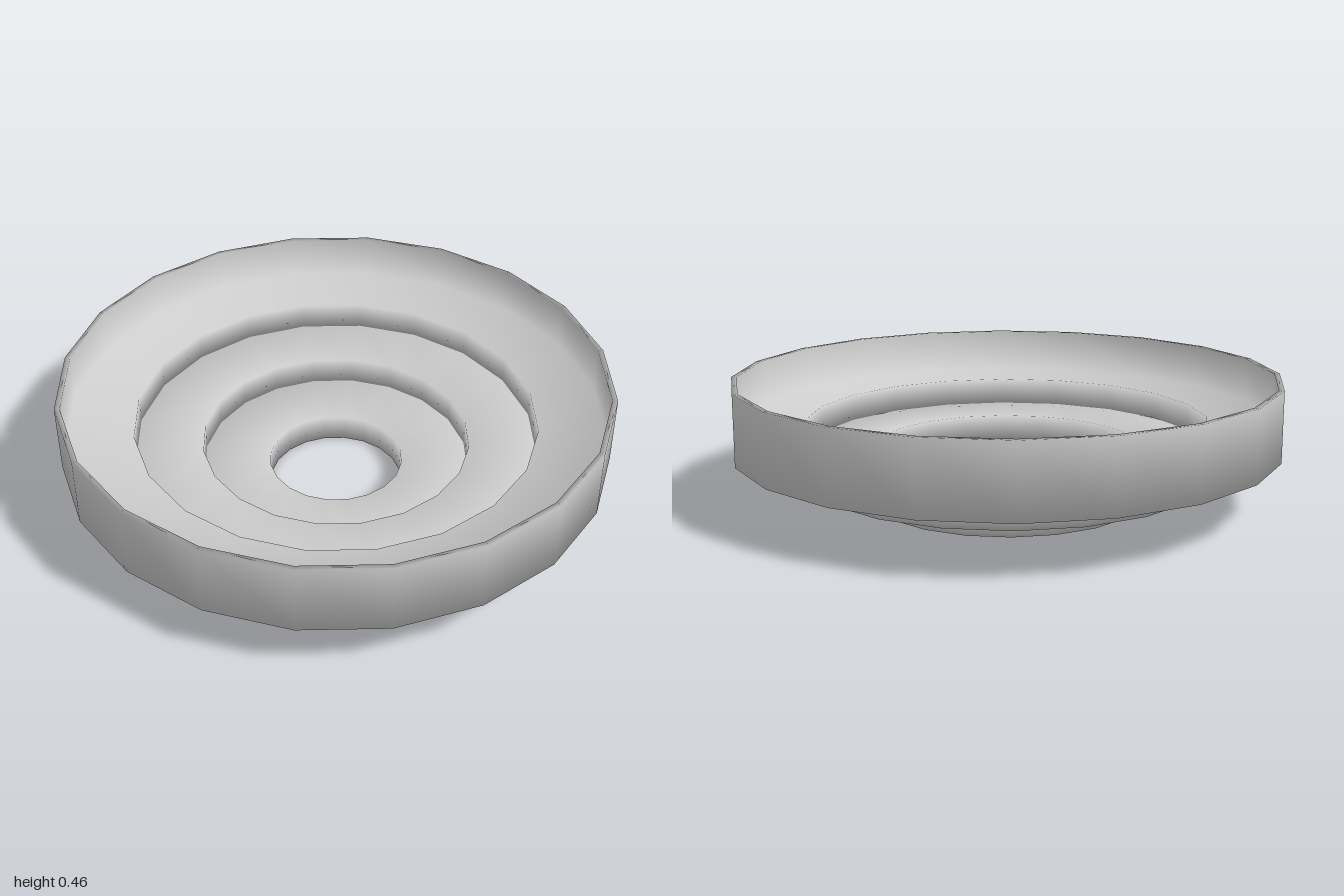
import * as THREE from 'three';
import { mergeVertices } from 'three/addons/utils/BufferGeometryUtils.js';

const SIDES = 20;

// Closed ring turned from a counter-clockwise [radius, height] outline, with shared smooth normals
function ring(name, outline, material) {
  const points = [...outline, outline[0]].map(([r, y]) => new THREE.Vector2(r, y));
  const lathe = new THREE.LatheGeometry(points, SIDES);
  lathe.deleteAttribute('normal');
  lathe.deleteAttribute('uv');
  const geometry = mergeVertices(lathe, 1e-4);
  geometry.computeVertexNormals();
  const mesh = new THREE.Mesh(geometry, material);
  mesh.name = name;
  return mesh;
}

// Flat washer outline
const washer = (inner, outer, y0, y1) => [[inner, y0], [outer, y0], [outer, y1], [inner, y1]];

export function createModel() {
  const group = new THREE.Group();
  group.name = 'steppedDish';
  const material = new THREE.MeshStandardMaterial({ color: 0xcccccc });

  // Two lower steps, each a washer around an open centre
  group.add(ring('bottomStep', washer(0.245, 0.5, 0, 0.1), material));
  group.add(ring('middleStep', washer(0.735 / 1.5, 0.75, 0.1, 0.2), material));

  // Top step carries the thin upright rim
  group.add(ring('topStepWithRim', [
    [0.735, 0.2], [1, 0.2], [1, 0.46], [0.98, 0.46], [0.98, 0.3], [0.735, 0.3],
  ], material));

  return group;
}
